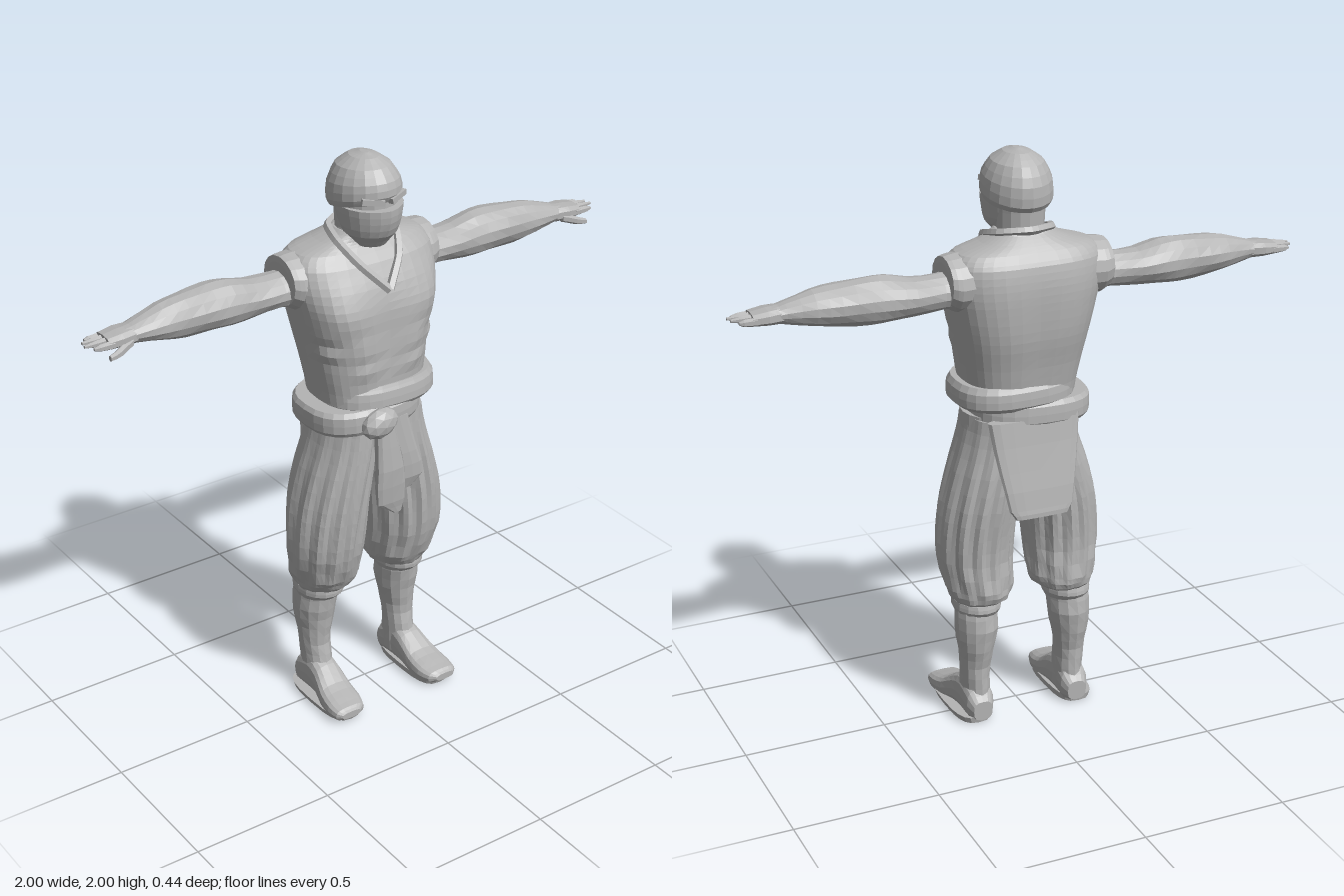
import * as THREE from 'three';

const grey = new THREE.MeshStandardMaterial({ color: 0xb4b4b4 });
grey.name = 'clay grey';

const bump = (v, c, w) => Math.exp(-(((v - c) / w) ** 2));
const facet = (geo) => {
  const g = geo.index ? geo.toNonIndexed() : geo;
  g.computeVertexNormals();
  return g;
};
const cubic = (a, b, c, d, u) => b + 0.5 * u * (c - a + u * (2 * a - 5 * b + 4 * c - d + u * (3 * (b - c) + d - a)));

// Closed skin over oval sections [t, min1, max1, min2, max2] along an axis, t rising.
// Section planes: x -> (y, z), y -> (z, x), z -> (x, y).
function loft(axis, rows, { n = 16, sub = 2, power = 2, scale = () => 1, mirror = false } = {}) {
  const secs = [];
  for (let i = 0; i < rows.length - 1; i++) {
    const q = [rows[Math.max(i - 1, 0)], rows[i], rows[i + 1], rows[Math.min(i + 2, rows.length - 1)]];
    for (let s = 0; s < sub; s++) {
      const u = s / sub;
      secs.push(rows[i].map((_, k) => (k ? cubic(q[0][k], q[1][k], q[2][k], q[3][k], u) : q[1][0] + (q[2][0] - q[1][0]) * u)));
    }
  }
  secs.push(rows[rows.length - 1]);
  const pos = [], idx = [];
  const put = (t, a, b) => {
    const p = axis === 'x' ? [t, a, b] : axis === 'y' ? [b, t, a] : [a, b, t];
    if (mirror) p[0] *= -1;
    pos.push(...p);
  };
  const tri = (a, b, c) => (mirror ? idx.push(a, c, b) : idx.push(a, b, c));
  const round = (v) => Math.sign(v) * Math.abs(v) ** (2 / power);
  for (const [t, a0, a1, b0, b1] of secs) {
    for (let j = 0; j < n; j++) {
      const th = (j / n) * Math.PI * 2, k = scale(th, t) / 2;
      put(t, (a0 + a1) / 2 + (a1 - a0) * k * round(Math.cos(th)), (b0 + b1) / 2 + (b1 - b0) * k * round(Math.sin(th)));
    }
  }
  for (let i = 0; i < secs.length - 1; i++) {
    for (let j = 0; j < n; j++) {
      const a = i * n + j, b = i * n + ((j + 1) % n);
      tri(a, b, b + n);
      tri(a, b + n, a + n);
    }
  }
  [0, secs.length - 1].forEach((i) => {
    const c = pos.length / 3, [t, a0, a1, b0, b1] = secs[i];
    put(t, (a0 + a1) / 2, (b0 + b1) / 2);
    for (let j = 0; j < n; j++) {
      const a = i * n + j, b = i * n + ((j + 1) % n);
      i ? tri(c, a, b) : tri(c, b, a);
    }
  });
  const g = new THREE.BufferGeometry();
  g.setAttribute('position', new THREE.Float32BufferAttribute(pos, 3));
  g.setIndex(idx);
  return facet(g);
}

export function createModel() {
  const model = new THREE.Group();
  model.name = 'masked fighter';
  const add = (name, geo, parent = model) => {
    const m = new THREE.Mesh(geo, grey);
    m.name = name;
    parent.add(m);
    return m;
  };

  // Head: neck, cloth mask, eye band, hood
  add('neck', loft('y', [[1.66, -0.12, 0.05, -0.09, 0.09], [1.75, -0.11, 0.04, -0.08, 0.08], [1.86, -0.12, 0.04, -0.085, 0.085]]));
  add('mask', loft('y', [
    [1.705, 0.0, 0.085, -0.05, 0.05], [1.75, -0.06, 0.12, -0.09, 0.09], [1.8, -0.09, 0.138, -0.102, 0.102],
    [1.845, -0.1, 0.142, -0.108, 0.108]], { n: 20, scale: (th) => 1 + 0.05 * bump(th > 3.2 ? th - 6.283 : th, 0, 0.3) }));
  add('eyeBand', loft('y', [[1.83, -0.1, 0.118, -0.1, 0.1], [1.89, -0.1, 0.118, -0.1, 0.1]]));
  for (const s of [-1, 1]) {
    const brow = add('brow', facet(new THREE.BoxGeometry(0.075, 0.018, 0.03)));
    brow.position.set(s * 0.045, 1.875, 0.108);
    brow.rotation.set(0, s * 0.35, s * 0.15);
  }
  const hood = loft('y', [
    [1.865, -0.125, 0.118, -0.112, 0.112], [1.885, -0.138, 0.13, -0.118, 0.118], [1.93, -0.138, 0.122, -0.112, 0.112],
    [1.97, -0.11, 0.09, -0.085, 0.085], [1.992, -0.065, 0.05, -0.045, 0.045], [2.0, -0.025, 0.015, -0.01, 0.01]], { n: 20 });
  const hp = hood.attributes.position;
  for (let i = 0; i < hp.count; i++) {
    const drop = Math.max(0, 0.12 - hp.getZ(i)) * 0.22 * Math.min(1, (2 - hp.getY(i)) / 0.11);
    hp.setY(i, hp.getY(i) - drop);
  }
  hood.computeVertexNormals();
  add('hood', hood);

  // Vest with chest, stomach and back muscles
  add('vest', loft('y', [
    [1.18, -0.16, 0.15, -0.19, 0.19], [1.3, -0.18, 0.152, -0.21, 0.21], [1.4, -0.202, 0.152, -0.23, 0.23],
    [1.5, -0.21, 0.145, -0.253, 0.253], [1.58, -0.208, 0.122, -0.268, 0.268], [1.65, -0.195, 0.085, -0.265, 0.265],
    [1.69, -0.17, 0.05, -0.235, 0.235], [1.715, -0.145, 0.035, -0.15, 0.15], [1.745, -0.115, 0.035, -0.085, 0.085]], {
    n: 36, sub: 3, power: 2.7,
    scale: (th, t) => {
      const a = Math.abs(th > Math.PI ? th - 2 * Math.PI : th);
      const chest = 0.07 * bump(a, 0.55, 0.35) * bump(t, 1.5, 0.07);
      const belly = 0.05 * bump(a, 0.35, 0.22) * (bump(t, 1.38, 0.025) + bump(t, 1.3, 0.025));
      const ribs = 0.03 * bump(a, 1.0, 0.25) * Math.sin(t * 75) * bump(t, 1.35, 0.08);
      const grooves = 0.04 * bump(a, 0, 0.13) * bump(t, 1.42, 0.13) + 0.05 * bump(a, Math.PI, 0.2) * bump(t, 1.45, 0.2);
      return 1 + chest + belly + ribs - grooves;
    },
  }));
  const collar = new THREE.CatmullRomCurve3([
    [0, 1.572, 0.142], [0.075, 1.655, 0.083], [0.112, 1.72, 0.01], [0.09, 1.745, -0.08], [0, 1.752, -0.122],
    [-0.09, 1.745, -0.08], [-0.112, 1.72, 0.01], [-0.075, 1.655, 0.083], [0, 1.572, 0.142]].map((p) => new THREE.Vector3(...p)), false, 'catmullrom', 0.3);
  add('collar', facet(new THREE.TubeGeometry(collar, 40, 0.015, 5)));

  // Wrapped sash, its knot and hanging ends
  add('sashLower', loft('y', [[1.09, -0.168, 0.165, -0.2, 0.2], [1.105, -0.178, 0.173, -0.21, 0.21], [1.16, -0.176, 0.172, -0.21, 0.21], [1.175, -0.165, 0.16, -0.2, 0.2]], { n: 28, power: 2.6 })).rotation.z = 0.03;
  add('sashUpper', loft('y', [[1.155, -0.165, 0.16, -0.195, 0.195], [1.17, -0.176, 0.17, -0.21, 0.21], [1.22, -0.174, 0.165, -0.208, 0.208], [1.24, -0.162, 0.155, -0.195, 0.195]], { n: 28, power: 2.6 })).rotation.z = -0.02;
  const knot = add('sashKnot', facet(new THREE.IcosahedronGeometry(1, 1)));
  knot.scale.set(0.07, 0.052, 0.04);
  knot.position.set(-0.065, 1.125, 0.18);
  knot.rotation.z = 0.25;
  add('sashEndLong', loft('y', [[0.77, 0.175, 0.19, -0.012, 0.02], [0.82, 0.175, 0.2, -0.08, 0.03], [0.95, 0.17, 0.212, -0.085, 0.02], [1.12, 0.155, 0.2, -0.08, -0.01]], { n: 10, power: 3 }));
  add('sashEndShort', loft('y', [[0.835, 0.15, 0.165, 0.03, 0.08], [0.88, 0.15, 0.18, 0.025, 0.12], [0.98, 0.15, 0.182, 0.015, 0.095], [1.12, 0.14, 0.172, -0.02, 0.06]], { n: 10, power: 3 }));
  add('backFlap', loft('y', [[0.79, -0.225, -0.205, -0.095, 0.095], [0.82, -0.222, -0.195, -0.115, 0.115], [0.95, -0.2, -0.165, -0.14, 0.14], [1.12, -0.172, -0.12, -0.165, 0.165]], { n: 16, power: 3 }));
  add('trouserSeat', loft('y', [[0.88, -0.08, 0.08, -0.08, 0.08], [0.95, -0.14, 0.12, -0.16, 0.16], [1.02, -0.155, 0.14, -0.195, 0.195], [1.12, -0.158, 0.15, -0.195, 0.195]], { n: 24 }));

  for (const mirror of [false, true]) {
    const side = mirror ? 'right' : 'left';
    const limb = (name, axis, rows, o = {}) => add(side + name, loft(axis, rows, { ...o, mirror }));

    // Arm, armhole rim and hand
    limb('ArmholeRim', 'x', [[0.19, 1.5, 1.695, -0.165, 0.045], [0.255, 1.5, 1.69, -0.17, 0.04], [0.285, 1.52, 1.685, -0.16, 0.025], [0.287, 1.54, 1.665, -0.14, 0.005]], { n: 16 });
    limb('Arm', 'x', [
      [0.22, 1.51, 1.64, -0.145, 0.01], [0.3, 1.515, 1.632, -0.14, 0.0], [0.4, 1.508, 1.635, -0.152, 0.0],
      [0.48, 1.502, 1.652, -0.158, 0.003], [0.55, 1.502, 1.655, -0.158, 0.002], [0.65, 1.507, 1.648, -0.15, 0.0],
      [0.73, 1.52, 1.636, -0.138, -0.004], [0.82, 1.537, 1.61, -0.113, -0.018], [0.86, 1.545, 1.6, -0.11, -0.02]],
    { n: 14, scale: (th, t) => 1 + 0.025 * Math.sin(3 * th + t * 28) });
    limb('Palm', 'x', [[0.83, 1.543, 1.6, -0.108, -0.02], [0.88, 1.545, 1.598, -0.118, -0.012], [0.93, 1.548, 1.59, -0.112, -0.018]], { n: 10, power: 2.6 });
    [0.975, 0.995, 1.0, 0.98].forEach((tip, k) => {
      const z = -0.102 + k * 0.025, h = 1.574 - Math.abs(k - 1.5) * 0.004;
      limb('Finger', 'x', [[0.91, h - 0.016, h + 0.014, z - 0.013, z + 0.013], [0.96, h - 0.012, h + 0.011, z - 0.012, z + 0.012], [tip, h - 0.005, h + 0.005, z - 0.006, z + 0.006]], { n: 6 });
    });
    limb('Thumb', 'x', [[0.85, 1.545, 1.575, -0.045, -0.012], [0.9, 1.53, 1.56, -0.025, 0.005], [0.94, 1.526, 1.546, -0.012, 0.007]], { n: 6 });

    // Baggy pleated trouser leg gathered below the knee
    limb('TrouserLeg', 'y', [
      [0.43, -0.115, 0.045, 0.095, 0.24], [0.46, -0.15, 0.075, 0.05, 0.258], [0.5, -0.158, 0.1, 0.036, 0.272],
      [0.6, -0.15, 0.13, 0.032, 0.288], [0.7, -0.155, 0.142, 0.025, 0.286], [0.8, -0.163, 0.148, 0.015, 0.272],
      [0.92, -0.163, 0.15, 0.0, 0.24], [1.02, -0.155, 0.148, -0.01, 0.208], [1.11, -0.15, 0.145, -0.01, 0.19]], {
      n: 52, sub: 2,
      scale: (th, t) => 0.99 + 0.045 * Math.sin(13 * th + 4 * t + 0.8 * Math.sin(2 * th)) * bump(t, 0.75, 0.3)
        + 0.025 * Math.sin(5 * th + 60 * t) * bump(t, 0.5, 0.07),
    });
    limb('TrouserCuff', 'y', [[0.405, -0.13, 0.04, 0.092, 0.245], [0.425, -0.145, 0.06, 0.085, 0.252], [0.45, -0.14, 0.06, 0.085, 0.25]], { n: 16 });

    // Tall boot
    limb('BootShaft', 'y', [
      [0.04, -0.118, 0.03, 0.128, 0.225], [0.12, -0.114, 0.025, 0.127, 0.228], [0.2, -0.115, 0.008, 0.126, 0.232],
      [0.27, -0.13, 0.012, 0.115, 0.24], [0.35, -0.142, 0.025, 0.1, 0.25], [0.44, -0.13, 0.035, 0.098, 0.245]],
    { n: 14, scale: (th, t) => 1 + 0.02 * Math.sin(2 * th + t * 55) });
    limb('Foot', 'z', [
      [-0.128, 0.145, 0.215, 0.01, 0.08], [-0.1, 0.13, 0.23, 0.0, 0.12], [-0.03, 0.13, 0.232, 0.004, 0.15],
      [0.03, 0.127, 0.238, 0.008, 0.13], [0.09, 0.124, 0.254, 0.0, 0.088], [0.15, 0.125, 0.262, 0.0, 0.068],
      [0.195, 0.14, 0.257, 0.008, 0.056], [0.212, 0.165, 0.24, 0.02, 0.045]], { n: 16, power: 2.8 });
    limb('Sole', 'y', [[0, -0.122, 0.195, 0.127, 0.255], [0.022, -0.126, 0.205, 0.125, 0.262]], { n: 20, sub: 1, power: 3 });
  }
  return model;
}
